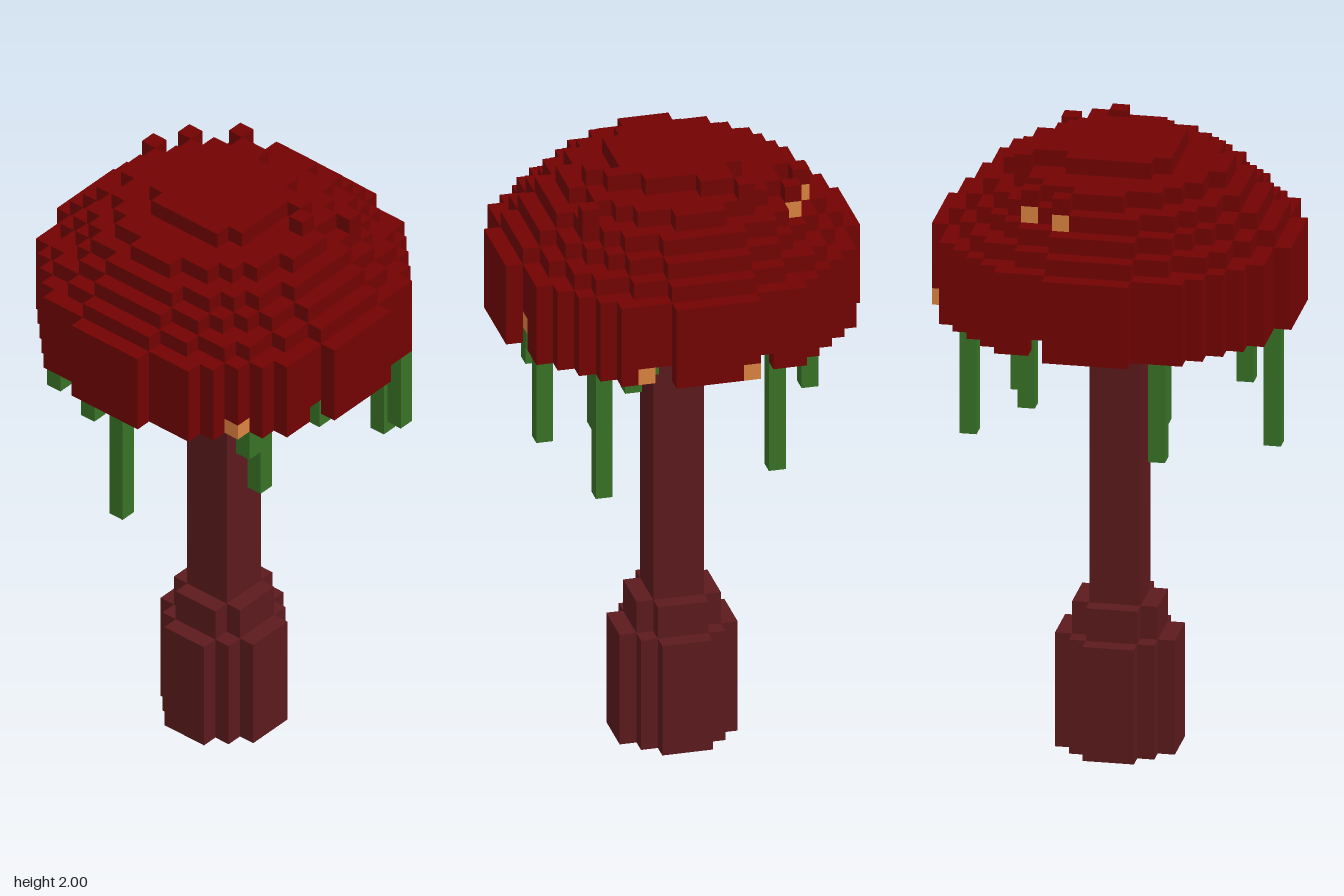
import * as THREE from 'three';
import { mergeGeometries } from 'three/addons/utils/BufferGeometryUtils.js';

const V = 2 / 37; // block size

const materials = {
  cap: new THREE.MeshStandardMaterial({ name: 'darkRed', color: 0x730202 }),
  trunk: new THREE.MeshStandardMaterial({ name: 'maroonBark', color: 0x5c1a1d }),
  vines: new THREE.MeshStandardMaterial({ name: 'vineGreen', color: 0x387226 }),
  glowBlocks: new THREE.MeshStandardMaterial({ name: 'glowOrange', color: 0xdb8340 }),
};

const key = (x, y, z) => `${x},${y},${z}`;
const inDisc = (x, z, r) => x * x + z * z <= r * r;

export function createModel() {
  const cells = new Map();
  const put = (part, x, y, z) => cells.set(key(x, y, z), { part, x, y, z });

  // One layer of blocks: a disc with an optional hole
  const disc = (part, y, r, hole = -1) => {
    for (let x = -10; x <= 10; x++) for (let z = -10; z <= 10; z++) {
      if (inDisc(x, z, r) && !(hole > 0 && inDisc(x, z, hole))) put(part, x, y, z);
    }
  };

  // Cap: thin upright rim, then a stepped hollow dome
  for (let y = 27; y <= 31; y++) disc('cap', y, 10.3, 9.3);
  const domeRadii = [9.3, 8.3, 7.3, 6.3, 3.7];
  domeRadii.forEach((r, i) => disc('cap', 32 + i, r, domeRadii[i + 1]));

  // Loose blocks on the dome
  [[2, 35, -7], [4, 35, -6], [4, 35, 6], [4, 36, -1], [4, 36, -2], [5, 36, -3], [1, 36, 5], [2, 36, 4]]
    .forEach(([x, y, z]) => put('cap', x, y, z));

  // Notches in the rim
  [[3, 27, 9], [3, 27, -9], [-3, 27, 9], [9, 27, 3], [9, 27, -3]].forEach((c) => cells.delete(key(...c)));

  // Vines: x, z and lowest block
  [
    [-9, 0, 19], [-8, -3, 24], [-6, 7, 25], [-5, 7, 22], [-4, -9, 21], [-4, -8, 23],
    [-3, 8, 26], [-1, 8, 25], [4, -7, 23], [5, 9, 22], [6, 6, 23], [7, 6, 19],
    [8, -4, 20], [6, 4, 25], [6, 3, 26], [6, -2, 26],
  ].forEach(([x, z, bottom]) => {
    for (let y = bottom; y <= 31 && !cells.has(key(x, y, z)); y++) put('vines', x, y, z);
  });

  // Glowing blocks in the cap
  [
    [3, 28, 9], [-7, 27, 7], [9, 27, 4], [10, 27, -2], [4, 34, -6], [2, 34, -7],
    [5, 27, -2], [2, 27, -6], [-6, 27, -5], [1, 27, 7],
  ].forEach(([x, y, z]) => put('glowBlocks', x, y, z));

  // Trunk: wide foot, collar and square stem
  for (let y = 0; y < 7; y++) disc('trunk', y, 3.3);
  for (let y = 7; y < 9; y++) disc('trunk', y, 2.3);
  for (let y = 9; y < 36; y++) disc('trunk', y, 1.5);

  // Exposed block faces, gathered by part
  const sides = [
    [1, 0, 0], [-1, 0, 0], [0, 1, 0], [0, -1, 0], [0, 0, 1], [0, 0, -1],
  ].map(([dx, dy, dz]) => {
    const face = new THREE.PlaneGeometry(V, V).translate(0, 0, V / 2);
    if (dx) face.rotateY(dx * Math.PI / 2);
    if (dy) face.rotateX(-dy * Math.PI / 2);
    if (dz < 0) face.rotateY(Math.PI);
    return { dx, dy, dz, face };
  });
  const faces = { trunk: [], cap: [], vines: [], glowBlocks: [] };
  for (const { part, x, y, z } of cells.values()) {
    for (const { dx, dy, dz, face } of sides) {
      if (cells.has(key(x + dx, y + dy, z + dz))) continue;
      faces[part].push(face.clone().translate(x * V, (y + 0.5) * V, z * V));
    }
  }

  const model = new THREE.Group();
  model.name = 'blockMushroom';
  for (const part in faces) {
    const mesh = new THREE.Mesh(mergeGeometries(faces[part]), materials[part]);
    mesh.name = part;
    model.add(mesh);
  }
  return model;
}
